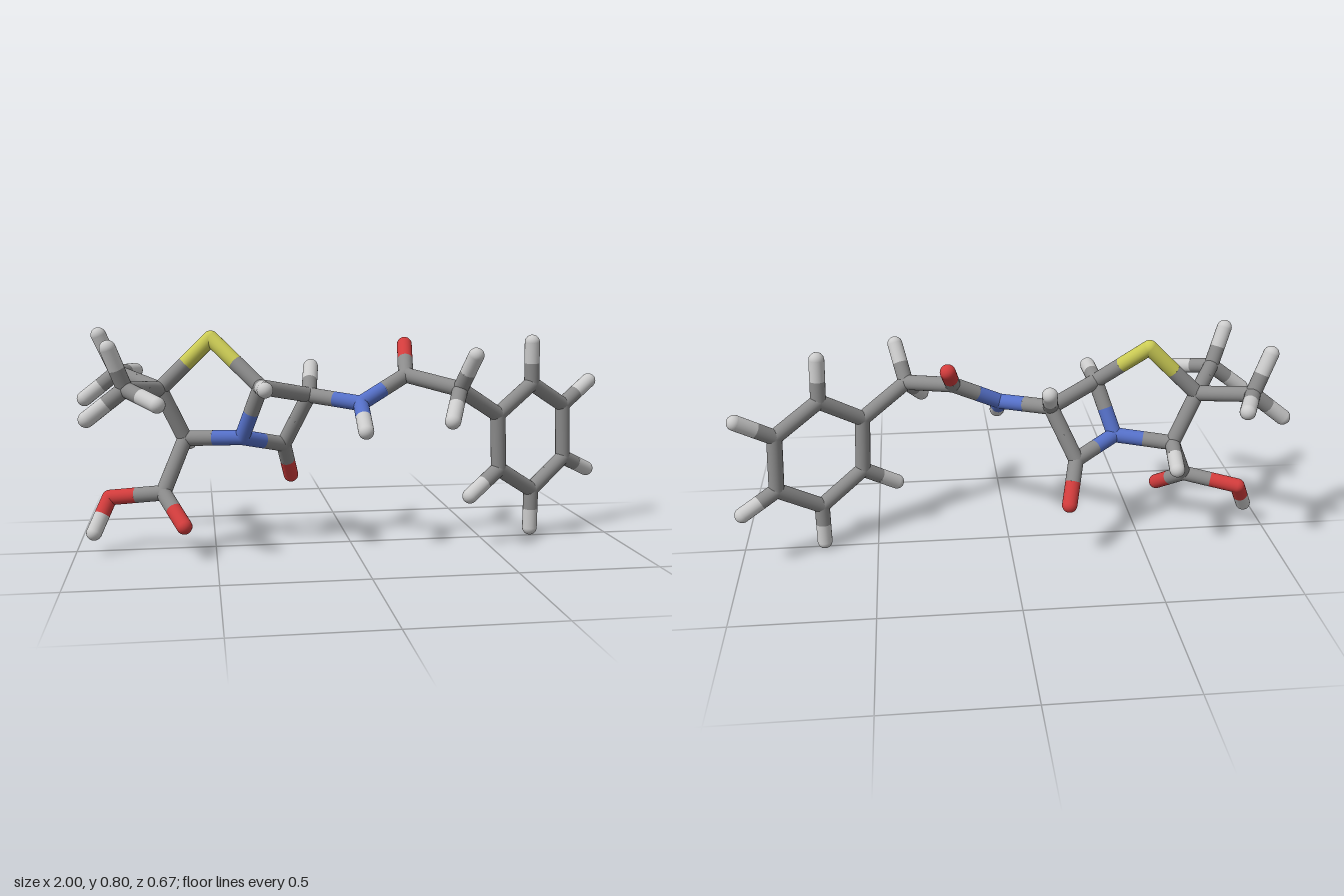
import * as THREE from 'three';

const RADIUS = 0.028;

// Atoms: element, x, y, z
const ATOMS = {
  // five-membered ring
  sulfur: ['S', -0.505, 0.767, -0.02],
  dimethylCarbon: ['C', -0.69, 0.585, -0.025],
  acidRingCarbon: ['C', -0.605, 0.40, -0.05],
  ringNitrogen: ['N', -0.40, 0.41, 0.02],
  bridgeCarbon: ['C', -0.335, 0.60, 0.095],
  acidRingHydrogen: ['H', -0.59, 0.364, -0.20],
  bridgeHydrogen: ['H', -0.33, 0.605, 0.25],
  // four-membered ring
  amineCarbon: ['C', -0.15, 0.555, -0.03],
  amineCarbonHydrogen: ['H', -0.13, 0.65, -0.148],
  lactamCarbon: ['C', -0.24, 0.365, -0.085],
  lactamOxygen: ['O', -0.205, 0.23, -0.182],
  // back methyl
  backMethyl: ['C', -0.85, 0.635, -0.17],
  backMethylH1: ['H', -0.91, 0.775, -0.145],
  backMethylH2: ['H', -0.97, 0.54, -0.165],
  backMethylH3: ['H', -0.79, 0.63, -0.31],
  // front methyl
  frontMethyl: ['C', -0.80, 0.61, 0.185],
  frontMethylH1: ['H', -0.85, 0.75, 0.22],
  frontMethylH2: ['H', -0.69, 0.568, 0.307],
  frontMethylH3: ['H', -0.93, 0.51, 0.20],
  // acid group
  acidCarbon: ['C', -0.685, 0.22, 0.05],
  acidOxygen: ['O', -0.612, 0.123, 0.175],
  hydroxylOxygen: ['O', -0.88, 0.193, -0.025],
  hydroxylHydrogen: ['H', -0.933, 0.08, 0.043],
  // amide chain
  amideNitrogen: ['N', 0.025, 0.535, 0.09],
  amideHydrogen: ['H', 0.025, 0.45, 0.213],
  amideCarbon: ['C', 0.20, 0.63, 0.035],
  amideOxygen: ['O', 0.222, 0.733, -0.104],
  linkCarbon: ['C', 0.37, 0.59, 0.175],
  linkH1: ['H', 0.405, 0.715, 0.255],
  linkH2: ['H', 0.313, 0.493, 0.305],
  // six-membered ring
  ring1: ['C', 0.535, 0.485, 0.092],
  ring2: ['C', 0.685, 0.59, 0.02],
  ring3: ['C', 0.84, 0.497, -0.07],
  ring4: ['C', 0.85, 0.29, -0.078],
  ring5: ['C', 0.70, 0.18, -0.004],
  ring6: ['C', 0.545, 0.28, 0.082],
  ringH2: ['H', 0.68, 0.745, 0.03],
  ringH3: ['H', 0.962, 0.583, -0.125],
  ringH4: ['H', 0.97, 0.23, -0.142],
  ringH5: ['H', 0.70, 0.03, -0.008],
  ringH6: ['H', 0.422, 0.193, 0.14],
};

// Each chain joins its atoms one after another
const CHAINS = [
  'sulfur dimethylCarbon acidRingCarbon ringNitrogen bridgeCarbon sulfur',
  'bridgeCarbon amineCarbon lactamCarbon ringNitrogen',
  'bridgeCarbon bridgeHydrogen',
  'acidRingCarbon acidRingHydrogen',
  'amineCarbon amineCarbonHydrogen',
  'lactamCarbon lactamOxygen',
  'dimethylCarbon backMethyl backMethylH1',
  'backMethylH2 backMethyl backMethylH3',
  'dimethylCarbon frontMethyl frontMethylH1',
  'frontMethylH2 frontMethyl frontMethylH3',
  'acidRingCarbon acidCarbon acidOxygen',
  'acidCarbon hydroxylOxygen hydroxylHydrogen',
  'amineCarbon amideNitrogen amideCarbon linkCarbon ring1',
  'amideNitrogen amideHydrogen',
  'amideCarbon amideOxygen',
  'linkH1 linkCarbon linkH2',
  'ring1 ring2 ring3 ring4 ring5 ring6 ring1',
  'ring2 ringH2', 'ring3 ringH3', 'ring4 ringH4', 'ring5 ringH5', 'ring6 ringH6',
];

function makeMaterial(name, color) {
  const m = new THREE.MeshStandardMaterial({ color });
  m.name = name;
  return m;
}

export function createModel() {
  const model = new THREE.Group();
  model.name = 'stickMolecule';
  const materials = {
    C: makeMaterial('carbonGrey', 0x8c8c8c),
    H: makeMaterial('hydrogenLightGrey', 0xcccccc),
    N: makeMaterial('nitrogenBlue', 0x5570c8),
    O: makeMaterial('oxygenRed', 0xd23c3c),
    S: makeMaterial('sulfurYellow', 0xcccc55),
  };
  const ball = new THREE.SphereGeometry(RADIUS, 24, 16);
  const stick = new THREE.CylinderGeometry(RADIUS, RADIUS, 1, 24, 1, true);
  const up = new THREE.Vector3(0, 1, 0);
  const atoms = {};

  // Rounded joint at every atom
  for (const [name, [element, x, y, z]] of Object.entries(ATOMS)) {
    const group = new THREE.Group();
    group.name = name;
    const joint = new THREE.Mesh(ball, materials[element]);
    joint.name = name + 'Joint';
    joint.position.set(x, y, z);
    group.add(joint);
    model.add(group);
    atoms[name] = { group, material: materials[element], point: joint.position };
  }

  // Half of a bond, coloured by the atom it starts from
  function addHalfBond(from, to) {
    const a = atoms[from].point;
    const direction = atoms[to].point.clone().sub(a);
    const half = new THREE.Mesh(stick, atoms[from].material);
    half.name = from + 'Bond';
    half.position.copy(a).addScaledVector(direction, 0.25);
    half.scale.y = direction.length() / 2;
    half.quaternion.setFromUnitVectors(up, direction.normalize());
    atoms[from].group.add(half);
  }

  for (const chain of CHAINS) {
    const names = chain.split(' ');
    for (let i = 1; i < names.length; i++) {
      addHalfBond(names[i - 1], names[i]);
      addHalfBond(names[i], names[i - 1]);
    }
  }
  return model;
}
